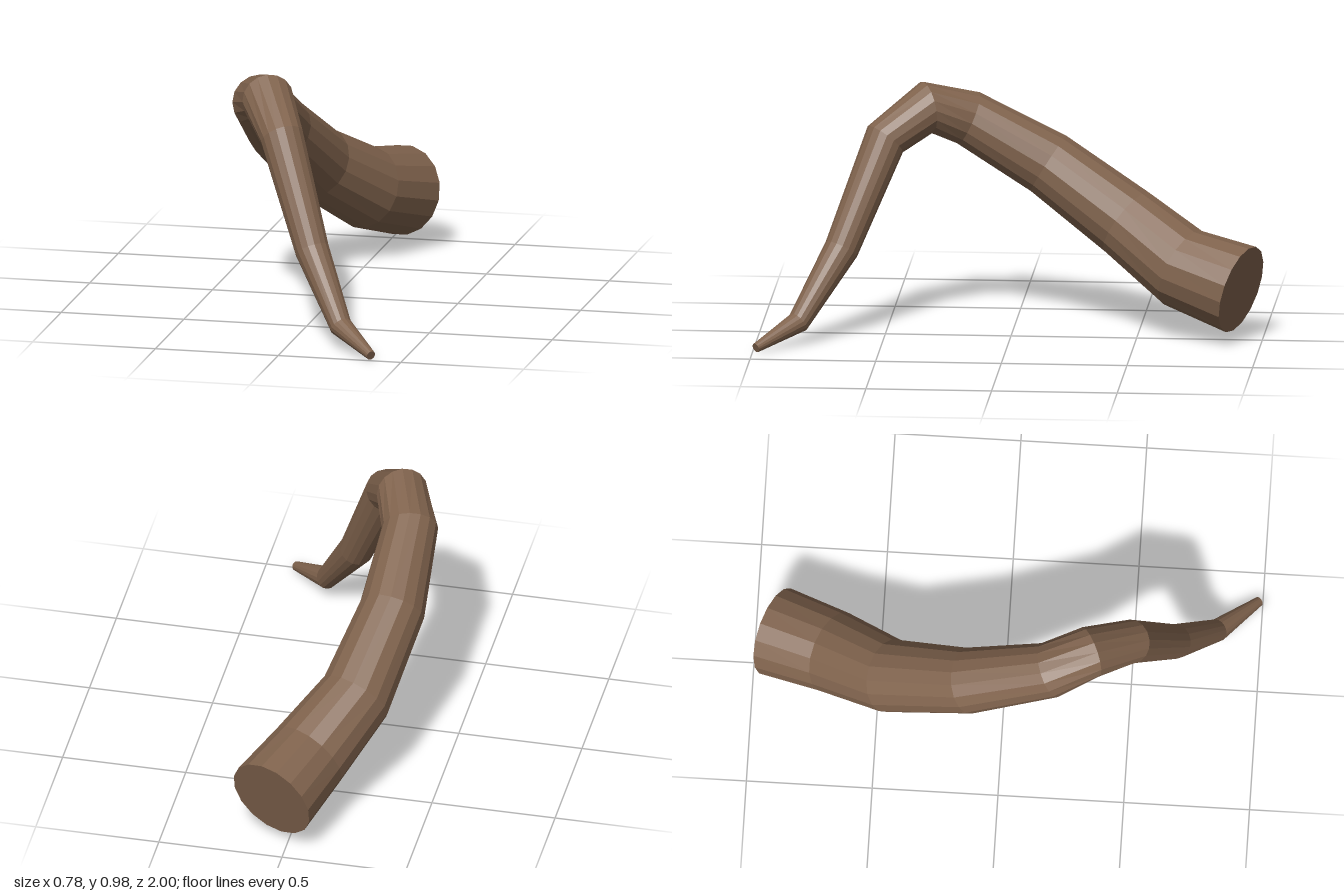
import * as THREE from 'three';

const SIDES = 16;

// Centre x, y, z and radius of each ring, from the thick base to the thin tip
const RINGS = [
  [0.06, 0.222, -0.92, 0.18],
  [-0.036, 0.285, -0.682, 0.165],
  [-0.178, 0.435, -0.448, 0.148],
  [-0.258, 0.65, -0.13, 0.132],
  [-0.26, 0.83, 0.19, 0.112],
  [-0.193, 0.885, 0.35, 0.104],
  [-0.098, 0.773, 0.508, 0.087],
  [0.062, 0.36, 0.67, 0.069],
  [0.217, 0.094, 0.83, 0.045],
  [0.375, 0.022, 0.986, 0.019],
];

// Closed tube through the rings, each ring square to the averaged direction
function taperedTube(rings) {
  const centres = rings.map(([x, y, z]) => new THREE.Vector3(x, y, z));
  const dirs = centres.slice(1).map((c, i) => c.clone().sub(centres[i]).normalize());
  const positions = [];
  const index = [];
  const side = new THREE.Vector3(1, 0, 0);
  centres.forEach((c, i) => {
    const before = dirs[Math.max(i - 1, 0)];
    const after = dirs[Math.min(i, dirs.length - 1)];
    const tangent = before.clone().add(after).normalize();
    // Carry the side vector along so the facets do not twist
    side.addScaledVector(tangent, -side.dot(tangent)).normalize();
    const up = tangent.clone().cross(side);
    for (let j = 0; j < SIDES; j++) {
      const a = ((j + 0.5) / SIDES) * Math.PI * 2;
      const p = c.clone()
        .addScaledVector(side, Math.cos(a) * rings[i][3])
        .addScaledVector(up, Math.sin(a) * rings[i][3]);
      positions.push(p.x, p.y, p.z);
    }
  });
  const last = (centres.length - 1) * SIDES;
  for (let i = 0; i < last; i += SIDES) {
    for (let j = 0; j < SIDES; j++) {
      const a = i + j;
      const b = i + ((j + 1) % SIDES);
      index.push(a, b, b + SIDES, a, b + SIDES, a + SIDES);
    }
  }
  // Flat end caps
  for (let j = 1; j < SIDES - 1; j++) {
    index.push(0, j + 1, j);
    index.push(last, last + j, last + j + 1);
  }
  const geometry = new THREE.BufferGeometry();
  geometry.setAttribute('position', new THREE.Float32BufferAttribute(positions, 3));
  geometry.setIndex(index);
  const flat = geometry.toNonIndexed();
  flat.computeVertexNormals();
  return flat;
}

export function createModel() {
  const group = new THREE.Group();
  group.name = 'root';
  const bark = new THREE.MeshStandardMaterial({ color: 0x80634d, flatShading: true });
  const root = new THREE.Mesh(taperedTube(RINGS), bark);
  root.name = 'bentRoot';
  group.add(root);
  return group;
}
